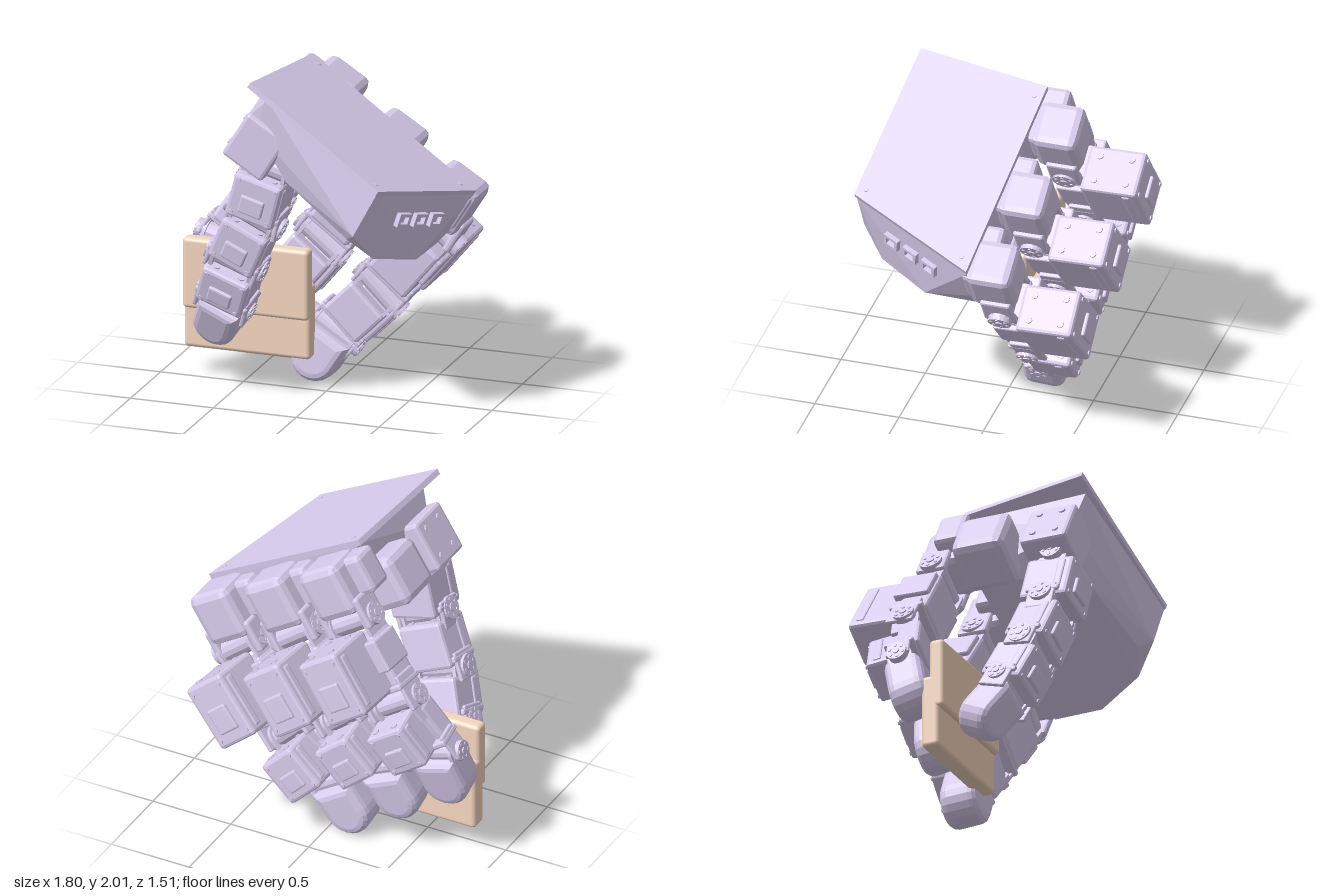
import * as THREE from 'three';
import { RoundedBoxGeometry } from 'three/addons/geometries/RoundedBoxGeometry.js';
import { ConvexGeometry } from 'three/addons/geometries/ConvexGeometry.js';

const shell = new THREE.MeshStandardMaterial({ color: 0xd9cdee, flatShading: true });
const tan = new THREE.MeshStandardMaterial({ color: 0xf5d6bf });
const V = (x, y, z) => new THREE.Vector3(x, y, z);

function add(parent, name, geo, x = 0, y = 0, z = 0, mat = shell) {
  const m = new THREE.Mesh(geo, mat);
  m.name = name;
  m.position.set(x, y, z);
  parent.add(m);
  return m;
}
const block = (w, h, d, r = 0.02, seg = 1) => new RoundedBoxGeometry(w, h, d, seg, r);

// Group at a: local +y runs towards b, local +x across the finger, local +z to the gripping side
function frame(parent, name, a, b) {
  const g = new THREE.Group();
  g.name = name;
  const d = b.clone().sub(a).normalize();
  const w = d.clone().cross(V(0, 0, 1)).normalize();
  g.quaternion.setFromRotationMatrix(new THREE.Matrix4().makeBasis(w, d, w.clone().cross(d)));
  g.position.copy(a);
  parent.add(g);
  return g;
}

// Round servo horn with a ring of screws, facing along local x
function horn(parent, side, x, r) {
  const g = new THREE.Group();
  g.name = 'hinge';
  g.position.x = side * x;
  g.rotation.z = -side * Math.PI / 2;
  parent.add(g);
  add(g, 'hornDisc', new THREE.CylinderGeometry(r, r, 0.02, 20));
  add(g, 'hornCentre', new THREE.CylinderGeometry(r * 0.35, r * 0.35, 0.035, 10));
  for (let i = 0; i < 6; i++) {
    const t = i * Math.PI / 3;
    add(g, 'hornScrew', new THREE.CylinderGeometry(0.011, 0.011, 0.03, 6), Math.cos(t) * r * 0.7, 0, Math.sin(t) * r * 0.7);
  }
}

// Side arm of a bracket, rounded at the hinge and pierced at its centre
function arm(len, r) {
  const s = new THREE.Shape();
  s.absarc(0, 0, r, Math.PI, 2 * Math.PI, false);
  s.lineTo(r, len);
  s.lineTo(-r, len);
  const hole = new THREE.Path();
  hole.absarc(0, 0, r * 0.5, 0, 2 * Math.PI, true);
  s.holes.push(hole);
  return new THREE.ExtrudeGeometry(s, { depth: 0.022, bevelEnabled: false, curveSegments: 8 }).rotateY(Math.PI / 2);
}

// Servo case with lid seam, screws and a cable cover
function servo(parent, w, h, d, x, y, z) {
  const g = new THREE.Group();
  g.name = 'servo';
  g.position.set(x, y, z);
  parent.add(g);
  add(g, 'servoCase', block(w, h, d));
  add(g, 'servoLid', block(w + 0.016, h * 0.82, 0.05, 0.01), 0, 0, -d / 2 + 0.07);
  add(g, 'cableCover', block(w * 0.5, h * 0.4, 0.03, 0.01), 0, h * 0.1, -d / 2 - 0.005);
  for (const sx of [-1, 1]) for (const sz of [-1, 1]) {
    add(g, 'endScrew', new THREE.CylinderGeometry(0.02, 0.02, 0.016, 8), sx * w * 0.27, -h / 2, sz * d * 0.28);
    add(g, 'backScrew', new THREE.CylinderGeometry(0.014, 0.014, 0.016, 8).rotateX(Math.PI / 2), sx * w * 0.38, sz * h * 0.38, -d / 2);
  }
}

function hinge(g, w, r, armLen) {
  add(g, 'hingeBarrel', new THREE.CylinderGeometry(r * 0.8, r * 0.8, w + 0.08, 14).rotateZ(Math.PI / 2));
  for (const s of [-1, 1]) {
    add(g, 'bracketArm', arm(armLen, r), s * (w / 2 + 0.002) - 0.011);
    horn(g, s, w / 2 + 0.048, r * 0.8);
  }
}

// U-shaped bracket end that reaches over the next hinge
function fork(g, y, z, len, depth) {
  add(g, 'bracketFoot', block(0.33, 0.035, depth + 0.04, 0.01), 0, y, z);
  for (const s of [-1, 1]) add(g, 'linkFork', block(0.025, len, depth, 0.008), s * 0.15, y + 0.05, z);
}

// Fingertip: rounded tongue with bevelled faces
function fingertip(g, len, w, d) {
  const b = 0.05, r = w / 2 - b;
  const s = new THREE.Shape();
  s.moveTo(-r, 0.02 + b);
  s.lineTo(r, 0.02 + b);
  s.lineTo(r, len - b - r);
  s.absarc(0, len - b - r, r, 0, Math.PI, false);
  const geo = new THREE.ExtrudeGeometry(s, { depth: d - 2 * b, bevelSize: b, bevelThickness: b, bevelSegments: 3, curveSegments: 5 });
  add(g, 'fingertipPad', geo, 0, 0, -d / 2 + b);
}

function finger(root, i) {
  const at = (p, o) => V(p[0] + o[0] * i, p[1] + o[1] * i, p[2] + o[2] * i);
  const k = at([0.61, 1.0, -0.17], [-0.4, 0.245, -0.07]);
  const h2 = at([0.25, 0.57, -0.22], [-0.37, 0.24, -0.06]);
  const h3 = at([-0.02, 0.3, -0.21], [-0.34, 0.22, -0.03]);
  const tip = at([-0.19, 0.03, -0.18], [-0.3, 0.2, 0]);

  // First link: large servo set behind the bracket
  const a = frame(root, 'fingerBaseLink', k, h2), la = k.distanceTo(h2);
  hinge(a, 0.24, 0.085, 0.16);
  servo(a, 0.28, 0.4, 0.34, -0.045, 0.245, -0.25);
  add(a, 'palmSideCase', block(0.28, la - 0.2, 0.19), 0, 0.1 + (la - 0.2) / 2, 0);
  add(a, 'bracketPlate', block(0.34, 0.2, 0.22, 0.012), 0, 0.22, -0.03);
  fork(a, la - 0.1, -0.02, 0.22, 0.17);

  // Second link: smaller servo
  const b = frame(root, 'fingerMiddleLink', h2, h3), lb = h2.distanceTo(h3);
  hinge(b, 0.24, 0.08, 0.14);
  servo(b, 0.26, lb - 0.1, 0.26, -0.045, lb / 2, -0.11);
  add(b, 'palmSideCase', block(0.28, lb - 0.14, 0.14), 0, lb / 2, 0.03);
  fork(b, lb - 0.07, -0.01, 0.17, 0.14);

  // End link
  const c = frame(root, 'fingerEndLink', h3, tip);
  hinge(c, 0.25, 0.075, 0.12);
  fingertip(c, h3.distanceTo(tip) + 0.01, 0.28, 0.23);
}

function thumb(root) {
  const p = [V(-0.18, 1.47, 0.45), V(-0.27, 1.15, 0.42), V(-0.41, 0.85, 0.36), V(-0.51, 0.58, 0.26), V(-0.635, 0.31, 0.09)];
  const depth = [0.3, 0.26, 0.27];
  for (let i = 0; i < 3; i++) {
    const g = frame(root, 'thumbLink', p[i], p[i + 1]), l = p[i].distanceTo(p[i + 1]);
    hinge(g, 0.24, 0.085, 0.14);
    const c = new THREE.Group();
    c.name = 'thumbServoMount';
    c.rotation.y = Math.PI;
    g.add(c);
    servo(c, 0.29, l - 0.06, depth[i], 0, l / 2 + 0.02, 0);
    fork(g, l - 0.05, 0, 0.17, 0.17);
  }
  const e = frame(root, 'thumbEndLink', p[3], p[4]);
  hinge(e, 0.23, 0.07, 0.12);
  fingertip(e, p[3].distanceTo(p[4]), 0.26, 0.23);
}

function palm(root) {
  // Local x runs down the sloping back plate, local y is its normal
  const g = new THREE.Group();
  g.name = 'palm';
  g.position.set(-0.24, 2.0, 0);
  g.rotation.z = -Math.atan2(0.53, 0.85);
  root.add(g);
  const plate = [], body = [];
  for (const [x, z] of [[0, 0.6], [0.11, -0.18], [1.34, -0.02], [0.97, 0.74]]) for (const y of [0, -0.035]) plate.push(V(x, y, z));
  for (const [x, y, z] of [[0.12, -0.03, 0.58], [0.15, -0.03, -0.16], [1.34, -0.03, -0.02], [0.97, -0.03, 0.73],
    [0.18, -0.27, 0.52], [0.48, -0.4, 0.54], [0.3, -0.4, -0.1], [1.32, -0.41, 0.0], [1.31, -0.42, 0.3],
    [1.14, -0.43, 0.6], [0.96, -0.4, 0.66], [1.34, -0.3, 0], [0.99, -0.33, 0.73]]) body.push(V(x, y, z));
  add(g, 'backPlate', new ConvexGeometry(plate));
  add(g, 'palmBody', new ConvexGeometry(body));
  // Connector frames on the flared wrist end
  const end = new THREE.Group();
  end.name = 'wristConnectors';
  end.position.set(1.205, -0.17, 0.37);
  end.rotation.set(0, -Math.atan2(0.37, 0.76), 0.3);
  g.add(end);
  const rect = (w, h) => [[-w, -h], [w, -h], [w, h], [-w, h]].map(q => new THREE.Vector2(...q));
  for (const z of [-0.14, 0, 0.14]) {
    const f = new THREE.Shape(rect(0.05, 0.04));
    f.holes.push(new THREE.Path(rect(0.03, 0.022)));
    add(end, 'connectorFrame', new THREE.ExtrudeGeometry(f, { depth: 0.04, bevelEnabled: false }).rotateY(Math.PI / 2), -0.02, 0, z);
  }
  for (const [x, z] of [[0.18, -0.12], [1.25, 0.03], [0.93, 0.68]])
    add(g, 'plateScrew', new THREE.CylinderGeometry(0.014, 0.014, 0.01, 10), x, 0, z);
  // Housings that carry the fingers along the rear edge
  for (let i = 0; i < 3; i++) {
    const x = 1.235 - 0.46 * i, z = -0.14 - 0.075 * i;
    add(g, 'knuckleHousing', block(0.28, 0.32, 0.27, 0.045), x, -0.185, z);
    add(g, 'housingWeb', block(0.36, 0.24, 0.18, 0.03), x - 0.06, -0.17, z + 0.07);
    for (const s of [-1, 1]) add(g, 'housingCheek', block(0.045, 0.2, 0.18, 0.015), x + s * 0.14, -0.36, z - 0.02);
  }
  // Thumb side of the palm
  add(g, 'thumbRoot', block(0.33, 0.31, 0.32, 0.05), 0.2, -0.33, 0.02);
  add(g, 'thumbServo', block(0.28, 0.31, 0.29, 0.02), 0.22, -0.33, 0.43);
  for (const sy of [-1, 1]) for (const sz of [-1, 1])
    add(g, 'thumbServoScrew', new THREE.CylinderGeometry(0.02, 0.02, 0.02, 8).rotateZ(Math.PI / 2), 0.08, -0.33 + sy * 0.09, 0.43 + sz * 0.07);
}

// Gripped block: two overlapping slabs, the lower one set back
function grippedBlock(root) {
  const g = new THREE.Group();
  g.name = 'grippedBlock';
  root.add(g);
  add(g, 'upperSlab', block(0.76, 0.42, 0.09, 0.025, 4), -0.485, 0.61, -0.025, tan);
  add(g, 'lowerSlab', block(0.76, 0.44, 0.11, 0.025, 4), -0.485, 0.38, -0.065, tan);
}

export function createModel() {
  const root = new THREE.Group();
  root.name = 'robotHand';
  palm(root);
  for (let i = 0; i < 3; i++) finger(root, i);
  thumb(root);
  grippedBlock(root);
  return root;
}
